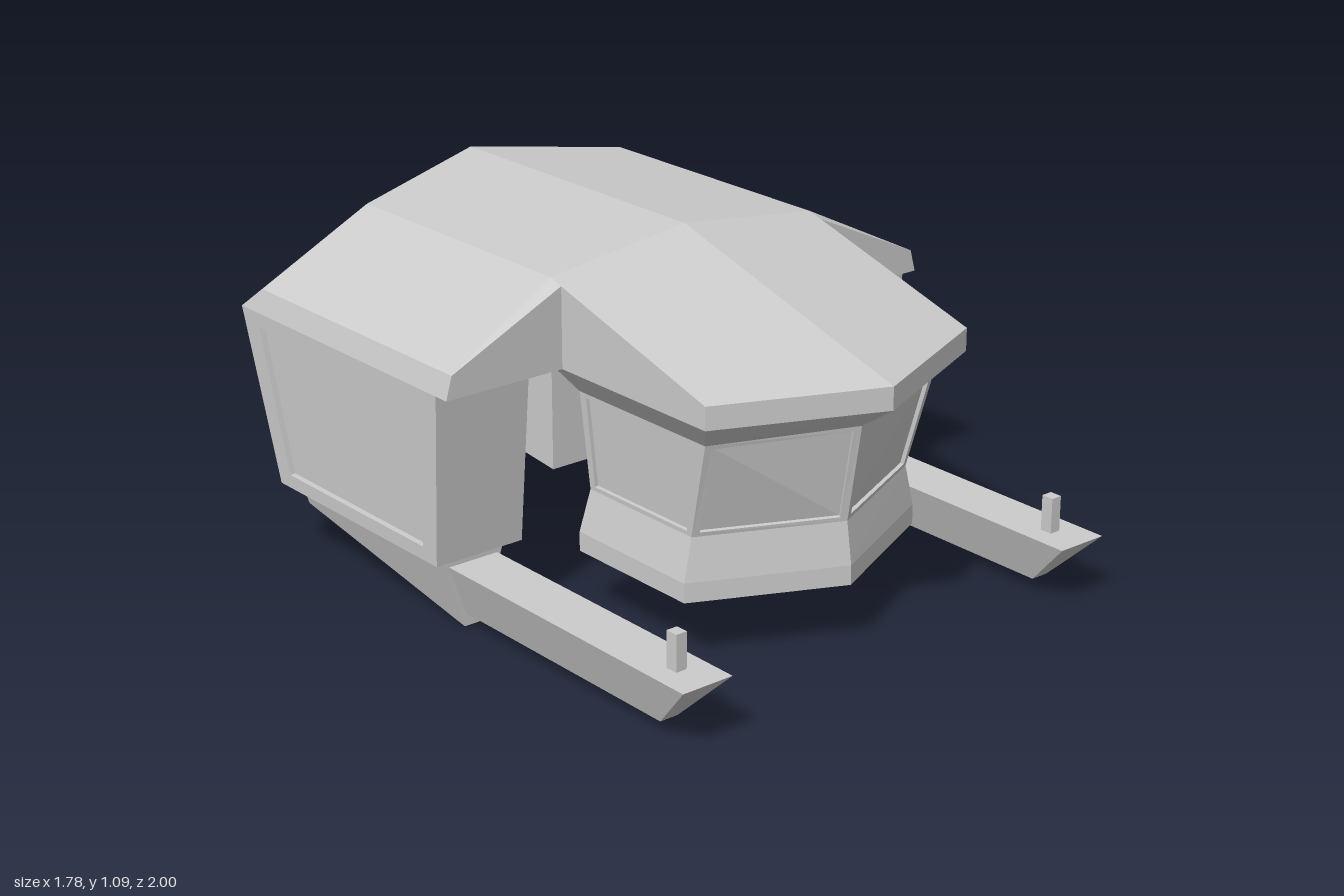
import * as THREE from 'three';
import { ConvexGeometry } from 'three/addons/geometries/ConvexGeometry.js';

const material = new THREE.MeshStandardMaterial({ color: 0xcccccc, flatShading: true });
const V = (x, y, z) => new THREE.Vector3(x, y, z);

// Convex solid from corner points [x, y, z]
const solid = (pts) => new ConvexGeometry(pts.map((p) => V(...p)));

// Adds the reflection in x of every point off the centre line
const both = (pts) => pts.flatMap(([x, y, z]) => (x === 0 ? [[x, y, z]] : [[x, y, z], [-x, y, z]]));

// Flat polygons, corners counter-clockwise seen from outside
function polygons(faces) {
  const pos = [];
  for (const f of faces) {
    for (let i = 1; i < f.length - 1; i++) {
      for (const p of [f[0], f[i], f[i + 1]]) pos.push(p.x, p.y, p.z);
    }
  }
  const g = new THREE.BufferGeometry();
  g.setAttribute('position', new THREE.Float32BufferAttribute(pos, 3));
  g.computeVertexNormals();
  return g;
}

// Reflection of a non-indexed geometry in x, with winding restored
function mirrored(geometry) {
  const p = geometry.getAttribute('position');
  const pos = [];
  for (let i = 0; i < p.count; i += 3) {
    for (const k of [i, i + 2, i + 1]) pos.push(-p.getX(k), p.getY(k), p.getZ(k));
  }
  const g = new THREE.BufferGeometry();
  g.setAttribute('position', new THREE.Float32BufferAttribute(pos, 3));
  g.computeVertexNormals();
  return g;
}

// Quad with a sunken pane: margins are fractions of the width and height
function windowFaces(corners, mu, mv, depth) {
  const [a, b, c, d] = corners;
  const at = (u, v) => a.clone().lerp(b, u).lerp(d.clone().lerp(c, u), v);
  const rim = [at(mu, mv), at(1 - mu, mv), at(1 - mu, 1 - mv), at(mu, 1 - mv)];
  const normal = b.clone().sub(a).cross(d.clone().sub(a)).normalize();
  const pane = rim.map((p) => p.clone().addScaledVector(normal, -depth));
  const faces = [pane];
  for (let i = 0; i < 4; i++) {
    const j = (i + 1) % 4;
    faces.push([corners[i], corners[j], rim[j], rim[i]], [rim[i], rim[j], pane[j], pane[i]]);
  }
  return faces;
}

// Pointed plan outline used by the canopy and the cabin
const outline = (y, x, zTip, zSide, zBack) => both([[0, y, zTip], [x, y, zSide], [x, y, zBack]]);

export function createModel() {
  const model = new THREE.Group();
  const add = (name, geometry, parent = model) => {
    const mesh = new THREE.Mesh(geometry, material);
    mesh.name = name;
    parent.add(mesh);
    return mesh;
  };

  // Main hull with pointed rear
  add('hull', solid(both([
    [0, 1.09, 0.05], [0.49, 1.03, 0.05], [0.49, 0.45, 0.05],
    [0, 1.09, -1], [0.49, 1.03, -0.86], [0.49, 0.72, -0.86],
    [0, 0.55, -1], [0.49, 0.53, -0.8],
  ])));

  // Sloping canopy, its brow, and the lower cabin
  const lip = outline(0.77, 0.49, 0.93, 0.72, 0.05);
  const windowTop = outline(0.69, 0.43, 0.81, 0.65, 0.1);
  const windowBottom = outline(0.39, 0.41, 0.76, 0.57, 0.12);
  const skirt = outline(0.26, 0.44, 0.78, 0.575, 0.105);
  const floor = outline(0.2, 0.44, 0.78, 0.575, 0.105);
  add('canopy', solid([
    ...both([[0, 1.09, 0.05], [0.49, 1.03, 0.05]]),
    ...outline(0.84, 0.49, 0.93, 0.72, 0.05), ...lip,
  ]));
  add('brow', solid([...lip, ...windowTop]));
  add('cabinBase', solid([...windowBottom, ...skirt, ...floor]));

  // Cabin window band: outline order is tip, left, right, back left, back right
  const top = windowTop.map((p) => V(...p));
  const low = windowBottom.map((p) => V(...p));
  const band = (i, j) => [low[i], low[j], top[j], top[i]];
  const glazing = polygons([
    ...windowFaces(band(0, 1), 0.05, 0.045, 0.012),
    ...windowFaces(band(1, 3), 0.05, 0.045, 0.012),
  ]);
  add('cabinWindowsLeft', glazing);
  add('cabinWindowsRight', mirrored(glazing));
  add('cabinBack', polygons([band(3, 4)]));

  // Shoulder joining the hull to a side pod
  const shoulder = solid([
    [0.49, 1.03, 0.05], [0.49, 1.016, 0.1], [0.87, 0.84, 0.1], [0.89, 0.77, 0.1], [0.49, 0.77, 0.1],
    [0.49, 1.03, -0.86], [0.87, 0.84, -0.86], [0.89, 0.77, -0.95], [0.49, 0.77, -0.95],
  ]);

  // Side pod: inner, front, back and bottom walls plus the outer panel
  const ring = (y, xOut, zFront, zBack) => [
    V(0.57, y, zFront), V(xOut, y, zFront), V(xOut, y, zBack), V(0.57, y, zBack),
  ];
  const t = ring(0.77, 0.89, 0.05, -0.95);
  const b = ring(0.235, 0.87, 0, -0.81);
  const side = (i, j) => [b[i], b[j], t[j], t[i]];
  const pod = polygons([
    side(0, 1), side(2, 3), side(3, 0), [b[3], b[2], b[1], b[0]],
    ...windowFaces(side(1, 2), 0.08, 0.08, 0.018),
  ]);

  // Landing skid: wedge mount under the pod, forward runner and peg
  const cx = 0.715;
  const bar = (y, z, w) => [[cx - w, y, z], [cx + w, y, z]];
  const mount = solid([
    ...bar(0.235, -0.04, 0.11), ...bar(0, -0.04, 0.036),
    ...bar(0.235, -0.765, 0.11), ...bar(0.165, -0.765, 0.088),
  ]);
  const runner = solid([
    ...bar(0.2, 1, 0.085), ...bar(0.04, 0.84, 0.03),
    ...bar(0.2, -0.05, 0.085), ...bar(0.04, -0.05, 0.03),
  ]);
  const peg = new THREE.BoxGeometry(0.036, 0.12, 0.04).toNonIndexed();
  peg.translate(cx, 0.25, 0.872);

  const parts = { shoulder, pod, skidMount: mount, skidRunner: runner, skidPeg: peg };
  for (const sideName of ['left', 'right']) {
    const group = new THREE.Group();
    group.name = sideName + 'Side';
    for (const [name, geometry] of Object.entries(parts)) {
      add(name, sideName === 'left' ? geometry : mirrored(geometry), group);
    }
    model.add(group);
  }
  return model;
}
